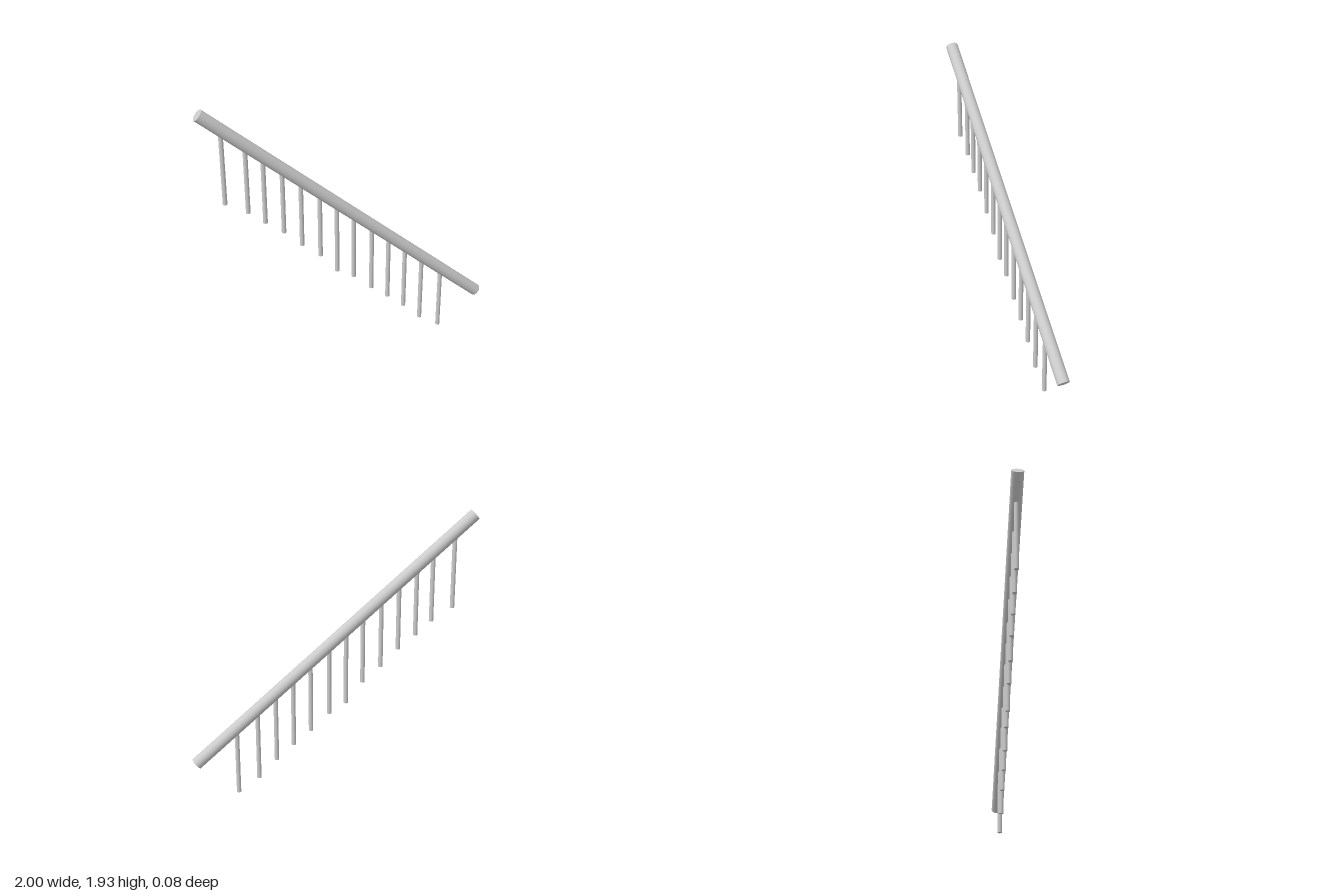
import * as THREE from 'three';

export function createModel() {
  const group = new THREE.Group();
  const material = new THREE.MeshStandardMaterial({ color: 0xcccccc });

  // Round bar with capped ends between two points
  function bar(name, from, to, radius, sides) {
    const dir = to.clone().sub(from);
    const mesh = new THREE.Mesh(new THREE.CylinderGeometry(radius, radius, dir.length(), sides), material);
    mesh.name = name;
    mesh.position.copy(from).add(to).multiplyScalar(0.5);
    mesh.quaternion.setFromUnitVectors(new THREE.Vector3(0, 1, 0), dir.normalize());
    group.add(mesh);
  }

  // Sloping handrail
  const low = new THREE.Vector3(0.973, 0.252, 0);
  const high = new THREE.Vector3(-0.973, 1.898, 0);
  bar('handrail', low, high, 0.042, 32);

  // Balusters: [x, height of the foot]; each runs up to the rail's axis
  const balusters = [
    [-0.837, 1.25], [-0.688, 1.163], [-0.576, 1.07], [-0.453, 0.977], [-0.33, 0.857],
    [-0.202, 0.752], [-0.084, 0.607], [0.035, 0.538], [0.166, 0.421], [0.289, 0.325],
    [0.412, 0.222], [0.54, 0.095], [0.687, 0],
  ];
  balusters.forEach(([x, foot], i) => {
    const top = THREE.MathUtils.mapLinear(x, low.x, high.x, low.y, high.y);
    bar(`baluster${i + 1}`, new THREE.Vector3(x, foot, 0), new THREE.Vector3(x, top, 0), 0.0155, 24);
  });

  return group;
}
